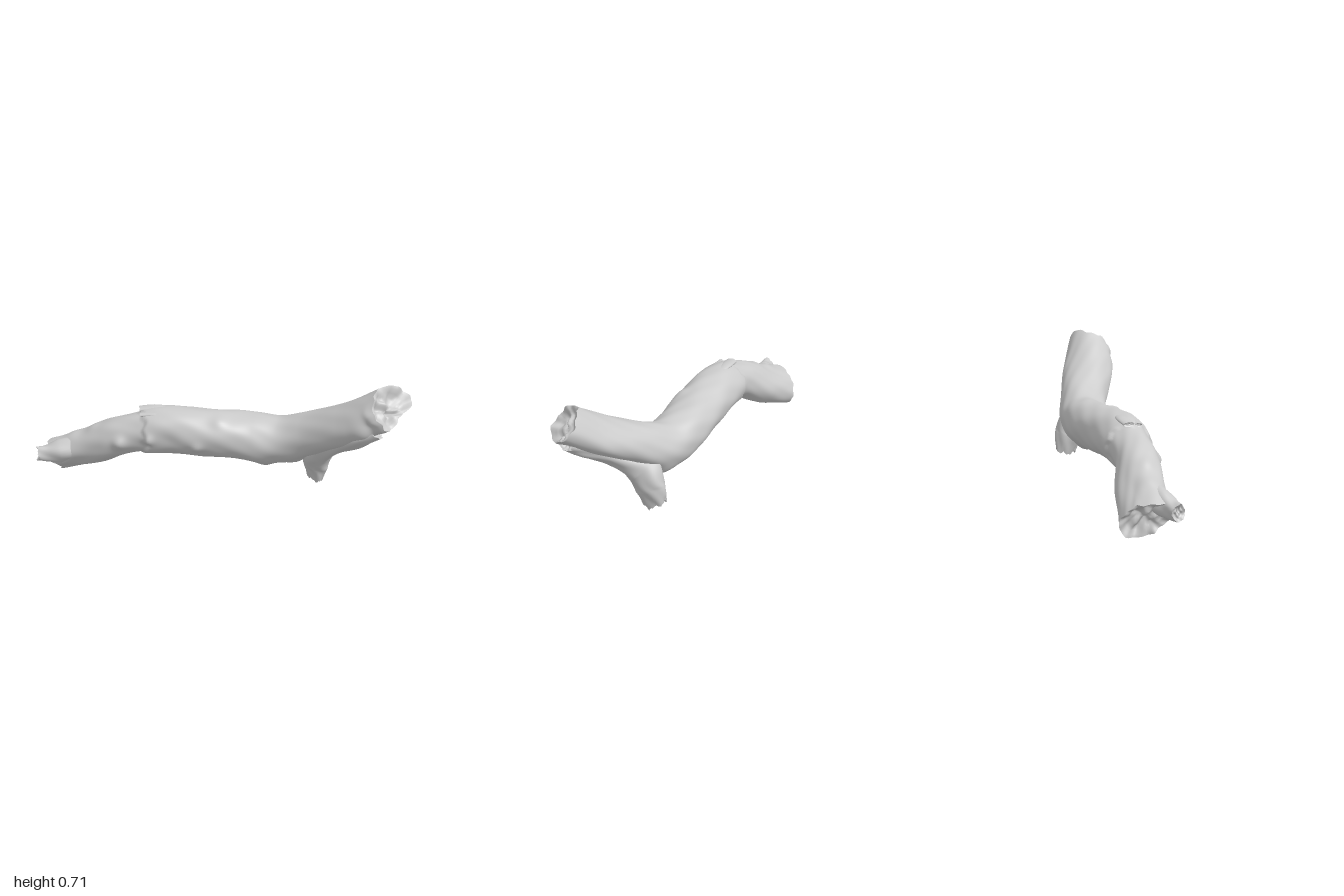
import * as THREE from 'three';

const material = new THREE.MeshStandardMaterial({ color: 0xcccccc, side: THREE.DoubleSide });
const smooth = THREE.MathUtils.smoothstep;
const TAU = Math.PI * 2;

// Surface over rows x n points, closed around each ring
function ringSurface(rows, n, pointAt) {
  const pos = [], idx = [];
  for (let i = 0; i < rows; i++)
    for (let j = 0; j < n; j++) pos.push(...pointAt(i, (j / n) * TAU).toArray());
  for (let i = 0; i < rows - 1; i++)
    for (let j = 0; j < n; j++) {
      const k = (j + 1) % n, a = i * n + j, b = a + n, c = (i + 1) * n + k, d = i * n + k;
      idx.push(a, b, c, a, c, d);
    }
  const g = new THREE.BufferGeometry();
  g.setAttribute('position', new THREE.Float32BufferAttribute(pos, 3));
  g.setIndex(idx);
  g.computeVertexNormals();
  return g;
}

// Splintered outline around a broken end
function splinter(a, seed) {
  const saw = (x) => Math.abs(((x / TAU) % 1 + 1) % 1 - 0.5) * 2 - 0.5;
  return 0.5 * saw(a * 5 + seed) + 0.35 * saw(a * 11 + seed * 2.3) + 0.3 * Math.sin(a * 2 + seed);
}

// Branch along stations [x, y, z, vertical radius, side radius], with hollow broken ends.
// slant cuts the far end obliquely, shorter on the front side.
function makeBranch(name, stations, { rows = 60, sides = 40, jag = 0.03, hollow = 0.04, seed = 1, slant = 0, detail = () => 0 }) {
  const path = new THREE.CatmullRomCurve3(stations.map((s) => new THREE.Vector3(s[0], s[1], s[2])));
  const radii = new THREE.CatmullRomCurve3(stations.map((s, i) => new THREE.Vector3(s[3], s[4], i * 0.1)));
  const up = new THREE.Vector3(0, 1, 0);
  const at = (u, a, scale = 1, shift = 0) => {
    const c = path.getPoint(u), t = path.getTangent(u), r = radii.getPoint(u);
    const side = new THREE.Vector3().crossVectors(t, up).normalize();
    const top = new THREE.Vector3().crossVectors(side, t);
    const out = side.multiplyScalar(Math.cos(a) * r.y).addScaledVector(top, Math.sin(a) * r.x);
    const p = c.clone().add(out);
    const len = out.length();
    out.multiplyScalar((scale * (len + detail(p, u, a))) / len);
    const start = 1 - smooth(u, 0, 0.12), end = smooth(u, 0.88, 1);
    const along = jag * (end * splinter(a, seed) - start * splinter(a, seed + 4)) * scale ** 3
      - slant * end * Math.cos(a) * scale;
    return c.add(out).addScaledVector(t, along + shift);
  };
  const group = new THREE.Group();
  group.name = name;
  const add = (part, geometry) => {
    const m = new THREE.Mesh(geometry, material);
    m.name = part;
    group.add(m);
  };
  add(name + 'Bark', ringSurface(rows + 1, sides, (i, a) => at(i / rows, a)));
  // Broken faces: sunken and lumpy from rim to core
  const steps = 9;
  const broken = (u, k, a) => {
    const s = Math.max(1 - k / (steps - 1), 0.001), x = s * Math.cos(a), y = s * Math.sin(a);
    const lumps = 0.4 * Math.sin(x * 7 + seed) * Math.sin(y * 6 + seed * 2) + 0.2 * Math.sin(x * 13 - y * 9);
    const depth = hollow * smooth(1 - s, 0, 0.5) * (0.8 + lumps);
    return at(u, a, s, u ? -depth : depth);
  };
  add(name + 'EndBreak', ringSurface(steps, sides, (i, a) => broken(1, i, a)));
  add(name + 'StartBreak', ringSurface(steps, sides, (i, a) => broken(0, steps - 1 - i, a)));
  return group;
}

// Knots and swellings: x, y, z, spread, height
const knots = [
  [-0.36, 0.31, 0.06, 0.03, 0.018], [-0.52, 0.28, 0.02, 0.035, 0.018],
  [-0.1, 0.28, 0.07, 0.03, 0.013], [0.28, 0.17, -0.05, 0.06, 0.035],
  [0.02, 0.42, 0.02, 0.04, 0.01], [0.44, 0.2, -0.03, 0.07, 0.03],
  [-0.78, 0.24, -0.15, 0.04, 0.012], [-0.66, 0.29, -0.12, 0.04, 0.012],
  [0.22, 0.22, 0.05, 0.09, 0.022], [-0.25, 0.3, 0.06, 0.06, -0.01],
];

function trunkDetail(p, u, a) {
  let h = 0;
  for (const [x, y, z, s, k] of knots)
    h += k * Math.exp(-((p.x - x) ** 2 + (p.y - y) ** 2 + (p.z - z) ** 2) / (s * s));
  // Gentle bark waves
  h += 0.002 * Math.sin(a * 3 + p.x * 5) + 0.0015 * Math.sin(a * 5 - p.x * 17) + 0.001 * Math.sin(a * 8 + p.x * 31);
  // Peeled bark edge where the thinner left part begins
  const edge = -0.38 + 0.05 * splinter(a, 2);
  h -= 0.012 * (1 - smooth(p.x, edge - 0.012, edge + 0.012)) * smooth(p.x, -0.62, -0.42);
  // Left end flattened from upper back to lower front
  h -= 0.036 * Math.cos(a - 2.36) ** 2 * (1 - smooth(p.x, -0.85, -0.5));
  // Trough along the underside of the raised arm
  h -= 0.05 * Math.max(0, Math.cos(a + 1.85)) ** 3 * smooth(p.x, 0.52, 0.7);
  // Rough split wood on the front of the arm
  const front = Math.max(0, Math.cos(a + 0.25)) ** 2 * smooth(p.x, 0.66, 0.8);
  return h + front * (0.008 * Math.sin(p.x * 47 + a * 4) - 0.004);
}

export function createModel() {
  const model = new THREE.Group();
  model.name = 'brokenLog';

  model.add(makeBranch('trunk', [
    [-0.878, 0.1, -0.208, 0.115, 0.138],
    [-0.7, 0.175, -0.155, 0.115, 0.127],
    [-0.5, 0.28, -0.09, 0.111, 0.114],
    [-0.3, 0.327, -0.07, 0.129, 0.127],
    [0, 0.318, -0.057, 0.127, 0.137],
    [0.2, 0.308, -0.057, 0.126, 0.133],
    [0.36, 0.306, -0.03, 0.12, 0.132],
    [0.5, 0.362, 0.02, 0.115, 0.13],
    [0.7, 0.472, 0.126, 0.114, 0.143],
    [0.81, 0.546, 0.184, 0.115, 0.138],
    [0.9, 0.615, 0.225, 0.116, 0.12],
  ], { rows: 220, sides: 72, jag: 0.035, hollow: 0.04, seed: 1.4, slant: 0.05, detail: trunkDetail }));

  // Hanging stub that runs up into the torn lower lip of the arm
  model.add(makeBranch('lowerStub', [
    [0.547, 0.065, -0.072, 0.062, 0.04],
    [0.55, 0.16, -0.05, 0.078, 0.068],
    [0.555, 0.27, 0.005, 0.09, 0.08],
    [0.64, 0.365, 0.115, 0.06, 0.07],
    [0.75, 0.44, 0.21, 0.05, 0.065],
    [0.83, 0.505, 0.255, 0.05, 0.055],
  ], {
    rows: 80, sides: 36, jag: 0.035, hollow: 0.025, seed: 3,
    detail: (p, u, a) => 0.003 * Math.sin(a * 3 + u * 9) + 0.002 * Math.sin(a * 6 - u * 20),
  }));

  // Short twig beside the left end
  model.add(makeBranch('sideTwig', [
    [-0.76, 0.18, -0.135, 0.065, 0.07],
    [-0.86, 0.16, -0.112, 0.065, 0.06],
    [-0.93, 0.15, -0.1, 0.048, 0.042],
    [-0.985, 0.15, -0.092, 0.042, 0.036],
  ], { rows: 30, sides: 28, jag: 0.02, hollow: 0.015, seed: 5, detail: (p, u, a) => 0.003 * Math.sin(a * 4 + u * 7) }));

  // Loose bark slivers lying on top of the trunk
  const slivers = [
    [[-0.41, 0.438, -0.09], [-0.32, 0.447, -0.09], [-0.22, 0.446, -0.08], 0.012, 0.03],
    [[-0.4, 0.428, -0.035], [-0.3, 0.436, -0.03], [-0.2, 0.434, -0.03], 0.01, 0.02],
  ];
  slivers.forEach(([a, b, c, v, s], i) => model.add(makeBranch('barkSliver' + (i + 1),
    [[...a, v, s], [...b, v, s], [...c, v * 0.5, s * 0.5]],
    { rows: 16, sides: 14, jag: 0.01, hollow: 0.004, seed: 7 + i })));

  return model;
}
